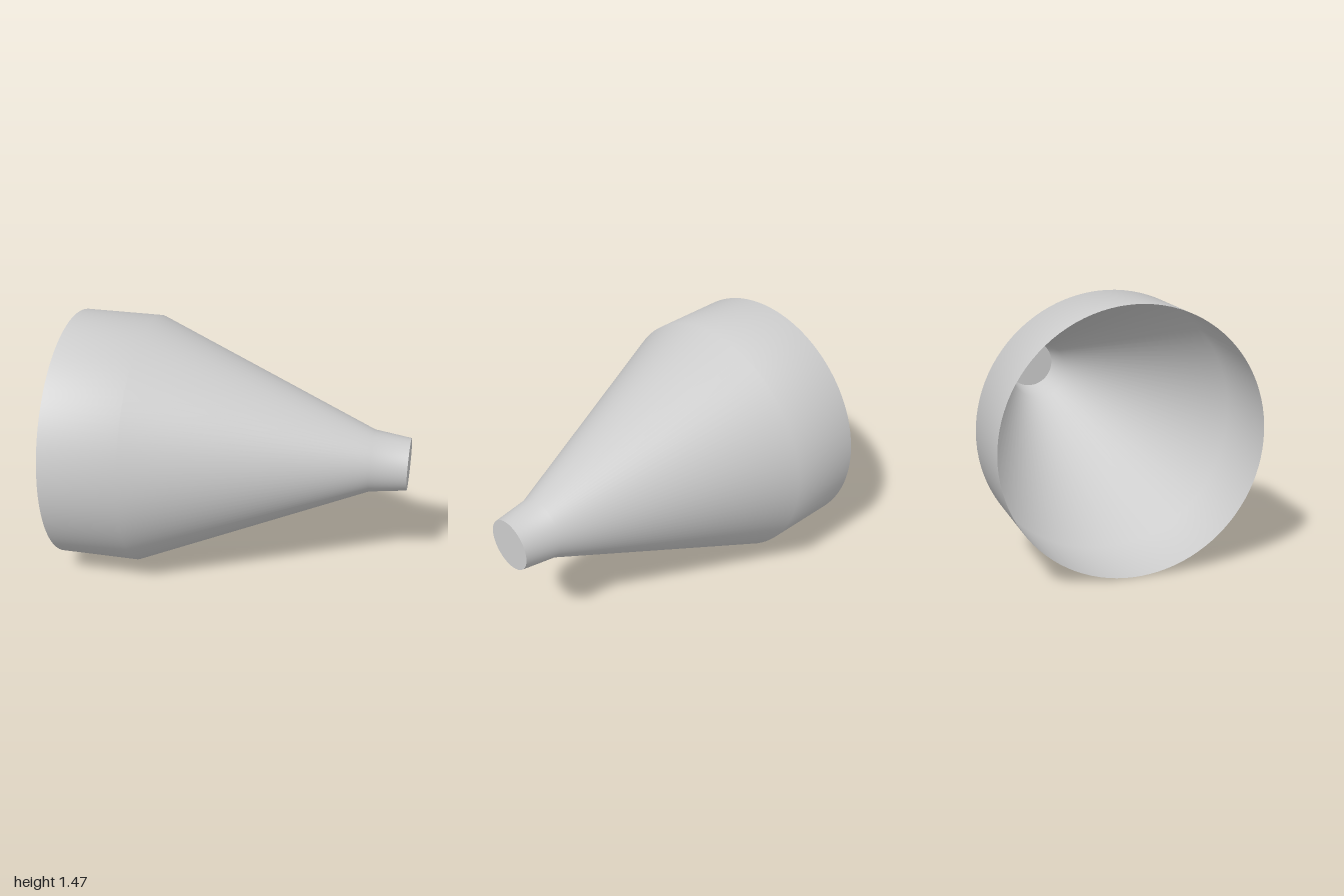
import * as THREE from 'three';

export function createModel() {
  const model = new THREE.Group();
  model.name = 'funnel';
  const grey = new THREE.MeshStandardMaterial({ color: 0xcccccc, side: THREE.DoubleSide });
  grey.name = 'lightGrey';
  const axisHeight = 0.737;

  // Thin shell, open at the wide end: straight collar, cone, slightly tapered spout
  const profile = [[0.737, -1], [0.737, -0.54], [0.182, 0.785], [0.153, 1]]
    .map(([radius, along]) => new THREE.Vector2(radius, along));
  const shell = new THREE.Mesh(new THREE.LatheGeometry(profile, 96).rotateZ(-Math.PI / 2), grey);
  shell.name = 'shell';
  shell.position.y = axisHeight;
  model.add(shell);

  // Flat disc closing the spout
  const cap = new THREE.Mesh(new THREE.CircleGeometry(0.153, 96).rotateY(Math.PI / 2), grey);
  cap.name = 'spoutCap';
  cap.position.set(1, axisHeight, 0);
  model.add(cap);

  return model;
}
